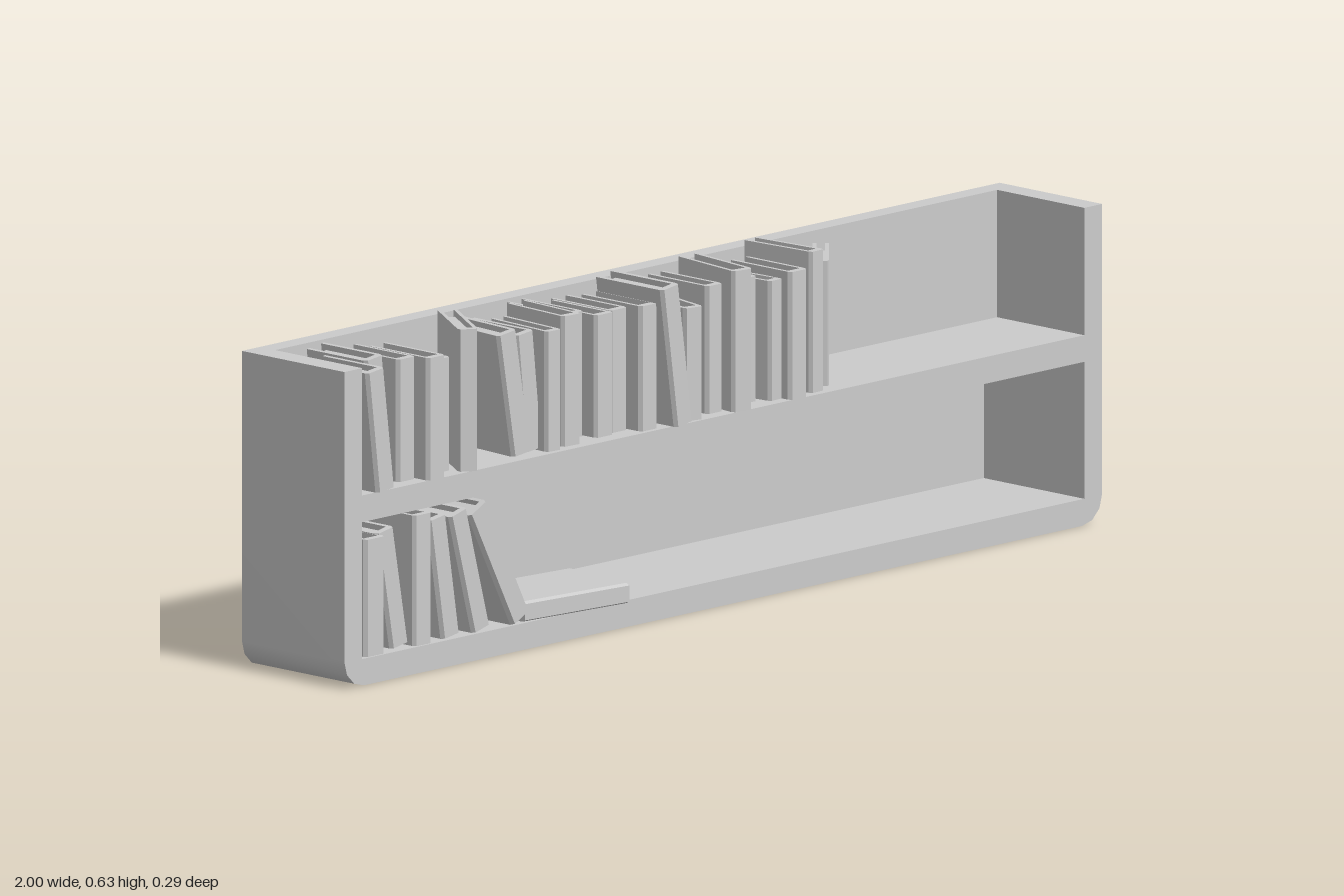
import * as THREE from 'three';

const grey = new THREE.MeshStandardMaterial({ color: 0xcccccc, side: THREE.DoubleSide });
const H = 0.596, FRONT = 0.117, BACK = -0.144, UPPER_BACK = -0.105, LOWER_BACK = -0.139;
const IN = 0.953, UPPER = 0.357, LOW0 = 0.05, LOW1 = 0.307, R = 0.052;

function mesh(name, geometry, parent) {
  const m = new THREE.Mesh(geometry, grey);
  m.name = name;
  parent.add(m);
  return m;
}

// Sweeps an xy profile straight along z from front to back
function skin(points, front, back, smooth) {
  const n = points.length;
  const g = new THREE.PlaneGeometry(1, 1, n - 1, 1);
  points.forEach(([x, y], i) => {
    g.attributes.position.setXYZ(i, x, y, front);
    g.attributes.position.setXYZ(n + i, x, y, back);
  });
  const out = smooth ? g : g.toNonIndexed();
  out.computeVertexNormals();
  return out;
}

function polygon(points) {
  return new THREE.Shape(points.map(([x, y]) => new THREE.Vector2(x, y)));
}

// Outer outline: down the right side, round both lower corners, up the left side
function outerProfile() {
  const pts = [[-1, H]];
  for (const [cx, start] of [[-1 + R, Math.PI], [1 - R, 1.5 * Math.PI]]) {
    for (let i = 0; i <= 3; i++) {
      const a = start + (i / 3) * Math.PI / 2;
      pts.push([cx + R * Math.cos(a), R + R * Math.sin(a)]);
    }
  }
  pts.push([1, H]);
  return pts;
}

// Hollow case, open behind, with two compartments set into it
function makeCase() {
  const group = new THREE.Group();
  group.name = 'bookcase';
  const outer = outerProfile();
  mesh('outerShell', skin(outer, FRONT, BACK, true), group);

  const upper = [[IN, H], [IN, UPPER], [-IN, UPPER], [-IN, H]];
  const lower = [[IN, LOW1], [IN, LOW0], [-IN, LOW0], [-IN, LOW1]];
  const face = polygon([...outer, ...upper]);
  face.holes.push(polygon(lower));
  mesh('frontFrame', new THREE.ShapeGeometry(face), group).position.z = FRONT;

  // Top rim around the open upper shelf
  const rim = polygon([[-1, -FRONT], [-IN, -FRONT], [-IN, -UPPER_BACK], [IN, -UPPER_BACK],
    [IN, -FRONT], [1, -FRONT], [1, -BACK], [-1, -BACK]]);
  const rimGeo = new THREE.ShapeGeometry(rim).rotateX(-Math.PI / 2);
  mesh('topRim', rimGeo, group).position.y = H;

  // The lower compartment is the deeper one
  mesh('upperCompartment', skin(upper, FRONT, UPPER_BACK), group);
  mesh('lowerCompartment', skin([...lower, lower[0]], FRONT, LOWER_BACK), group);
  for (const [name, y0, y1, z] of [['upperBackPanel', UPPER, H, UPPER_BACK], ['lowerBackPanel', LOW0, LOW1, LOWER_BACK]]) {
    mesh(name, new THREE.PlaneGeometry(2 * IN, y1 - y0), group).position.set(0, (y0 + y1) / 2, z);
  }
  return group;
}

// Book standing on y = 0 with its bevelled spine toward +z
function makeBook(height, thick, depth) {
  const book = new THREE.Group();
  book.name = 'book';
  const t = thick / 2, d = depth / 2, c = 0.007;
  const cover = polygon([[-t, -d], [-t, d - 0.008], [-t * 0.8, d], [t * 0.8, d], [t, d - 0.008], [t, -d],
    [t - c, -d], [t - c, d - 0.014], [-t + c, d - 0.014], [-t + c, -d]]);
  const g = new THREE.ExtrudeGeometry(cover, { depth: height, bevelEnabled: false });
  // Shape y becomes z, extrusion becomes height
  g.rotateX(-Math.PI / 2).rotateY(Math.PI);
  mesh('cover', g, book);
  const pages = new THREE.BoxGeometry(thick - 2 * c, height - 0.022, depth - 0.026);
  mesh('pages', pages, book).position.set(0, height / 2, -0.001);
  return book;
}

// [x at the foot, z centre, height, lean in degrees, turn in degrees, thickness, depth]
const upperBooks = [
  [-0.90, 0.053, 0.23, 7], [-0.855, 0.007, 0.24, 7], [-0.807, 0.015, 0.23], [-0.76, 0.046, 0.23],
  [-0.71, 0.01, 0.213], [-0.627, 0.046, 0.267, 0, -33, 0.037, 0.17], [-0.5, 0.02, 0.235, 9, -5],
  [-0.463, 0.007, 0.224, 6], [-0.432, 0.033, 0.226, 0, -4, 0.036], [-0.375, 0.024, 0.245, 0, -4],
  [-0.33, -0.018, 0.235], [-0.283, 0.013, 0.23], [-0.235, 0.003, 0.23], [-0.187, 0.034, 0.235],
  [-0.115, 0.046, 0.265, 8, 0, 0.045, 0.17], [-0.055, 0.037, 0.212, 0, -12, 0.04], [0.003, 0.018, 0.24, 0, 0, 0.04],
  [0.06, 0.04, 0.265, 0, -8, 0.045, 0.165], [0.107, 0.003, 0.235], [0.155, 0.022, 0.225, 0, 5, 0.036],
  [0.198, 0.044, 0.24], [0.257, 0.025, 0.265, 0, 4, 0.036, 0.16], [0.356, 0.022, 0.235, 0, -46, 0.03],
];
const lowerBooks = [
  [-0.916, 0.04, 0.22, 0, 0, 0.052], [-0.835, 0.025, 0.225, 10], [-0.79, 0.04, 0.245],
  [-0.71, 0.035, 0.23, 9], [-0.635, 0.04, 0.235, 15], [-0.535, 0.044, 0.25, 27, 0, 0.05],
  [-0.515, 0.033, 0.25, -90, -6, 0.038, 0.17],
];

function fillShelf(name, list, shelfY) {
  const row = new THREE.Group();
  row.name = name;
  for (const [x, z, height, lean = 0, turn = 0, thick = 0.045, depth = 0.152] of list) {
    const book = makeBook(height, thick, depth);
    const a = THREE.MathUtils.degToRad(lean);
    book.rotation.set(0, THREE.MathUtils.degToRad(turn), a, 'YXZ');
    book.position.set(x, shelfY + 0.001 + thick / 2 * Math.abs(Math.sin(a)), z);
    row.add(book);
  }
  return row;
}

export function createModel() {
  const model = new THREE.Group();
  model.name = 'wallBookshelf';
  model.add(makeCase(), fillShelf('upperBooks', upperBooks, UPPER), fillShelf('lowerBooks', lowerBooks, LOW0));
  return model;
}
